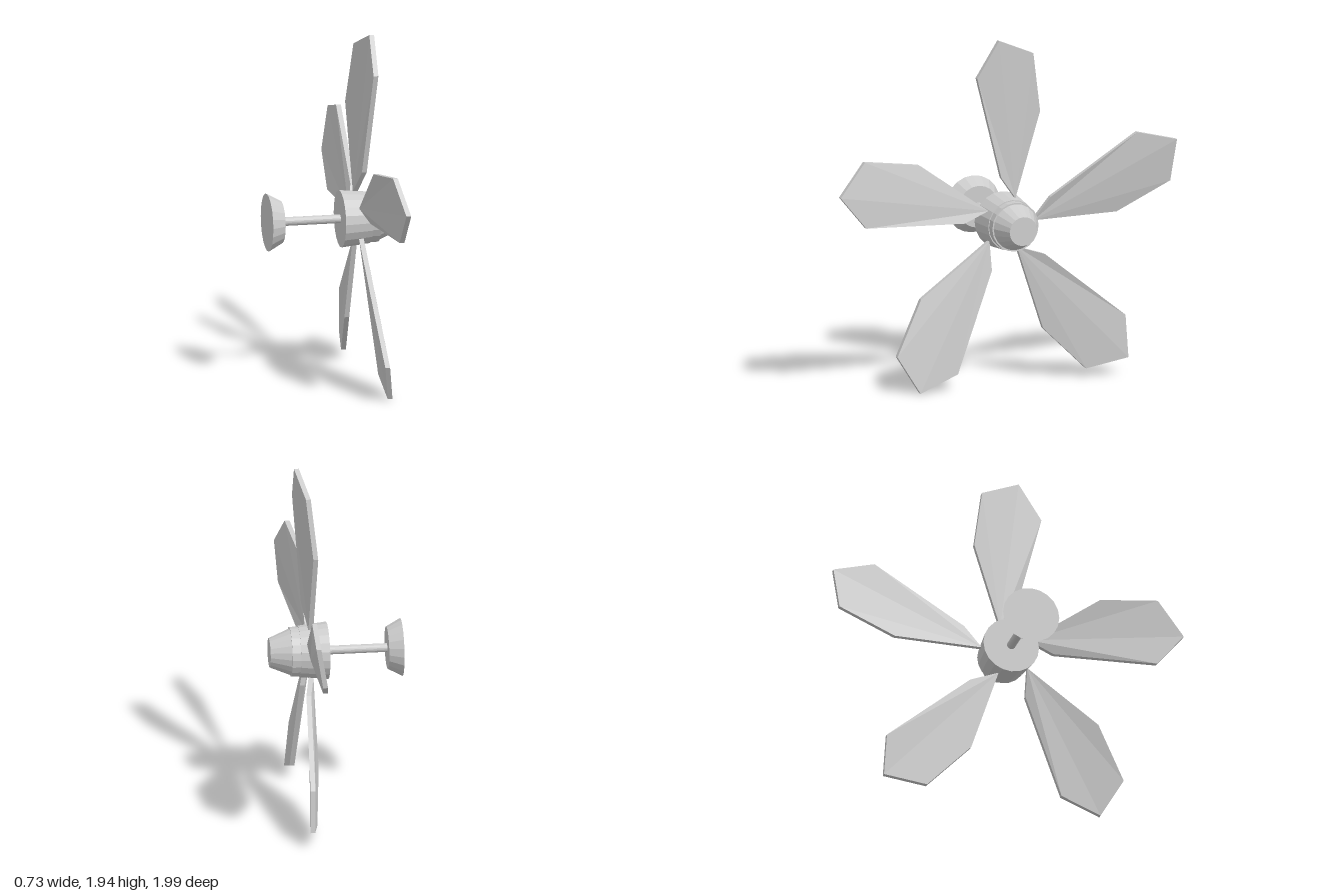
import * as THREE from 'three';

const AXIS_Y = 0.905, AXIS_Z = -0.023, SIDES = 20, BLADES = 5, THICKNESS = 0.027;

// Blade outline: [sideways, radial, depth along the shaft], starting at the root
const OUTLINE = [
  [0.04, 0.139, 0.123],
  [-0.056, 0.267, 0.153],
  [-0.211, 0.844, 0.184],
  [-0.083, 1.047, 0.188],
  [0.136, 0.951, 0.148],
  [0.19, 0.614, 0.113],
];

// Twisted plate: front and back fan out from the root, joined by a rim
function bladeGeometry() {
  const back = OUTLINE.map(([u, v, x]) => [x, v, -u]);
  const front = back.map(([x, y, z]) => [x + THICKNESS, y, z]);
  const positions = [];
  const tri = (a, b, c) => positions.push(...a, ...b, ...c);
  const n = back.length;
  for (let i = 1; i < n - 1; i++) {
    tri(front[0], front[i + 1], front[i]);
    tri(back[0], back[i], back[i + 1]);
  }
  for (let i = 0; i < n; i++) {
    const j = (i + 1) % n;
    tri(back[i], front[i], front[j]);
    tri(back[i], front[j], back[j]);
  }
  const geometry = new THREE.BufferGeometry();
  geometry.setAttribute('position', new THREE.Float32BufferAttribute(positions, 3));
  geometry.computeVertexNormals();
  return geometry;
}

export function createModel() {
  const model = new THREE.Group();
  model.name = 'propeller';
  const grey = new THREE.MeshStandardMaterial({ color: 0xcccccc, flatShading: true });
  grey.name = 'light grey';

  const rotor = new THREE.Group();
  rotor.name = 'rotor';
  rotor.position.set(0, AXIS_Y, AXIS_Z);
  model.add(rotor);

  // Round parts along the shaft: name, start x, end x, start radius, end radius
  const addRound = (name, x0, x1, r0, r1) => {
    const geometry = new THREE.CylinderGeometry(r1, r0, x1 - x0, SIDES);
    geometry.rotateZ(-Math.PI / 2);
    const mesh = new THREE.Mesh(geometry, grey);
    mesh.name = name;
    mesh.position.x = (x0 + x1) / 2;
    rotor.add(mesh);
  };
  addRound('mountingDisc', -0.367, -0.288, 0.16, 0.117);
  addRound('shaft', -0.3, 0.05, 0.024, 0.024);
  addRound('hub', 0.042, 0.2, 0.158, 0.142);
  addRound('collar', 0.19, 0.247, 0.137, 0.137);
  addRound('noseCone', 0.247, 0.362, 0.129, 0.081);

  // Blades spaced evenly round the hub
  const blade = bladeGeometry();
  for (let i = 0; i < BLADES; i++) {
    const mesh = new THREE.Mesh(blade, grey);
    mesh.name = `blade${i + 1}`;
    mesh.rotation.x = (i * 2 * Math.PI) / BLADES;
    rotor.add(mesh);
  }
  return model;
}
